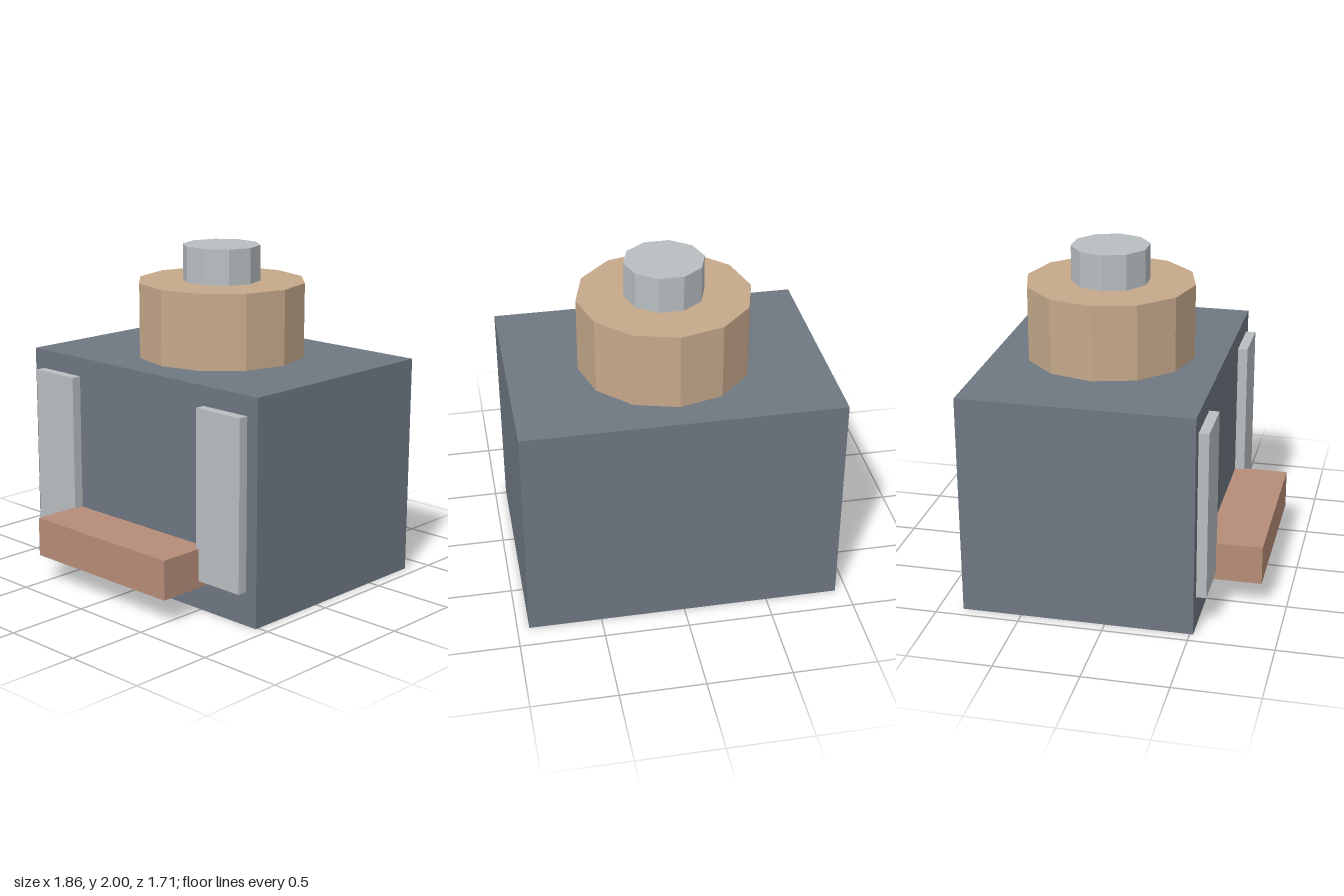
import * as THREE from 'three';

const paint = (color) => new THREE.MeshStandardMaterial({ color, flatShading: true });

export function createModel() {
  const model = new THREE.Group();
  const slate = paint(0x6f7782);
  const tan = paint(0xc6a98b);
  const steel = paint(0xb9bec1);
  const copper = paint(0xb68d77);

  const add = (name, geometry, material) => {
    const mesh = new THREE.Mesh(geometry, material);
    mesh.name = name;
    model.add(mesh);
    return mesh;
  };
  // Box given by its limits on each axis
  const box = (name, [x0, x1], [y0, y1], [z0, z1], material) =>
    add(name, new THREE.BoxGeometry(x1 - x0, y1 - y0, z1 - z0), material)
      .position.set((x0 + x1) / 2, (y0 + y1) / 2, (z0 + z1) / 2);
  // Upright faceted drum on the shared axis
  const drum = (name, radius, y0, y1, sides, turn, material) => {
    const mesh = add(name, new THREE.CylinderGeometry(radius, radius, y1 - y0, sides), material);
    mesh.position.set(0, (y0 + y1) / 2, -0.17);
    mesh.rotation.y = turn;
  };

  // Main block
  box('body', [-0.93, 0.93], [0, 1.333], [-0.853, 0.52], slate);

  // Raised panels on the front, one each side
  box('leftPanel', [0.52, 0.853], [0.2, 1.217], [0.5, 0.58], steel);
  box('rightPanel', [-0.853, -0.52], [0.2, 1.217], [0.5, 0.58], steel);

  // Shelf jutting out at the front
  box('frontShelf', [-0.54, 0.54], [0.157, 0.393], [0.5, 0.853], copper);

  // Stepped drums on top
  drum('topDrum', 0.51, 1.333, 1.785, 12, 0, tan);
  drum('topCap', 0.235, 1.785, 2, 10, Math.PI / 10, steel);

  return model;
}
